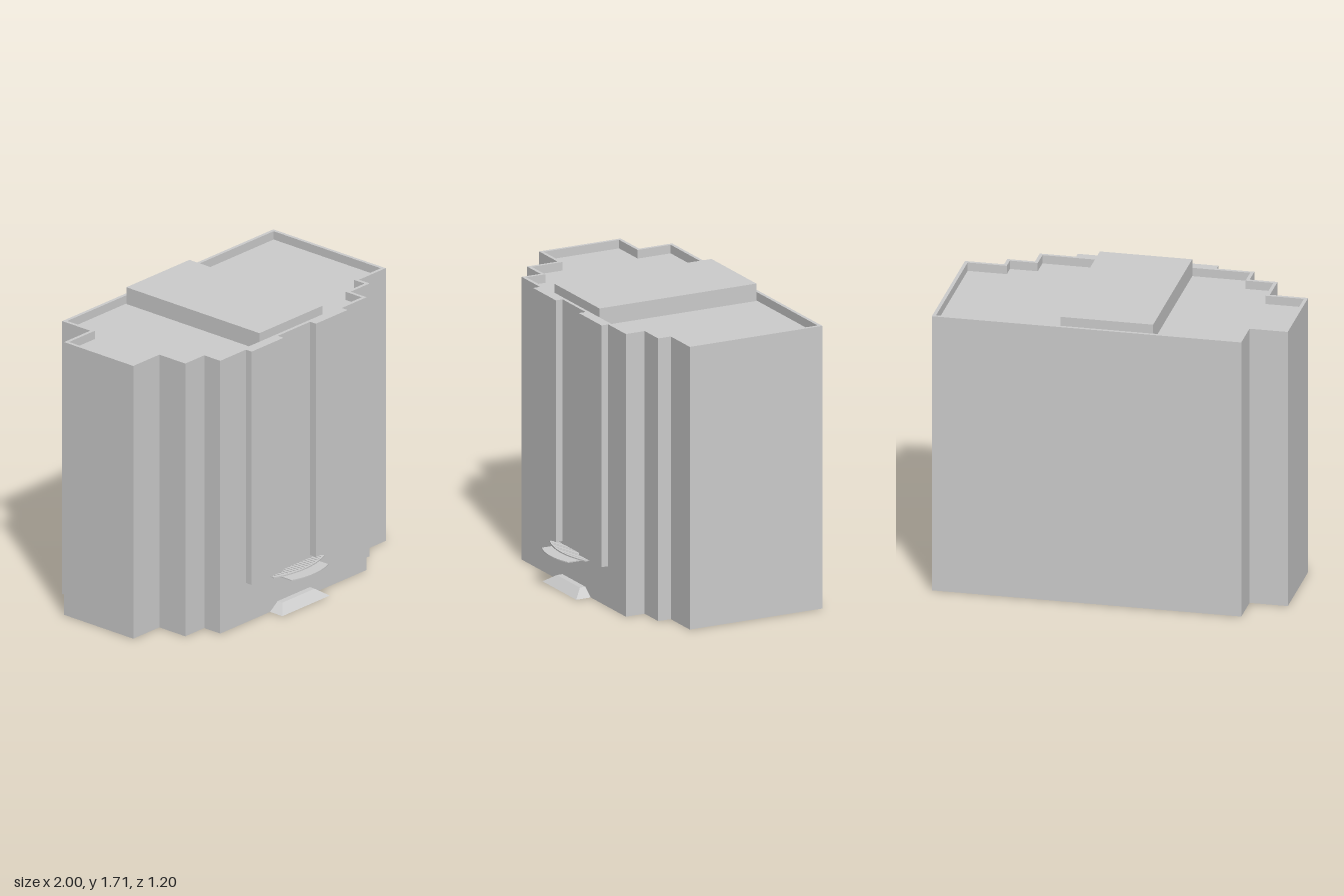
import * as THREE from 'three';

const grey = new THREE.MeshStandardMaterial({ color: 0xcccccc, flatShading: true });
const greyTwoSided = new THREE.MeshStandardMaterial({ color: 0xcccccc, flatShading: true, side: THREE.DoubleSide });

const HEIGHT = 1.66, ROOF = 1.61, RIM = 0.02, FRONT = 0.445;

// Stepped floor plan as [x, z]
const PLAN = [
  [-0.78, -0.6], [1, -0.6], [1, 0.245], [0.775, 0.245], [0.775, 0.325], [0.615, 0.325], [0.615, FRONT],
  [-0.62, FRONT], [-0.62, 0.325], [-0.78, 0.325], [-0.78, 0.13], [-1, 0.13], [-1, -0.39], [-0.78, -0.39],
];

function add(group, name, geometry, material = grey) {
  const mesh = new THREE.Mesh(geometry, material);
  mesh.name = name;
  group.add(mesh);
  return mesh;
}

// Box given by its lower and upper corners
function boxBetween(x0, x1, y0, y1, z0, z1) {
  return new THREE.BoxGeometry(x1 - x0, y1 - y0, z1 - z0)
    .translate((x0 + x1) / 2, (y0 + y1) / 2, (z0 + z1) / 2);
}

// Offset a right-angled plan inward
function inset(plan, d) {
  const n = plan.length;
  const inward = (a, b) => [-Math.sign(b[1] - a[1]), Math.sign(b[0] - a[0])];
  return plan.map((p, i) => {
    const u = inward(plan[(i + n - 1) % n], p), v = inward(p, plan[(i + 1) % n]);
    return [p[0] + d * (u[0] + v[0]), p[1] + d * (u[1] + v[1])];
  });
}

// Skin a stack of { plan, y } loops
function skin(loops) {
  const pos = [];
  for (let k = 0; k < loops.length - 1; k++) {
    const lo = loops[k], hi = loops[k + 1], n = lo.plan.length;
    const at = (l, i) => [l.plan[i % n][0], l.y, l.plan[i % n][1]];
    for (let i = 0; i < n; i++) {
      const a0 = at(lo, i), b0 = at(lo, i + 1), a1 = at(hi, i), b1 = at(hi, i + 1);
      pos.push(...a0, ...b1, ...b0, ...a0, ...a1, ...b1);
    }
  }
  const g = new THREE.BufferGeometry();
  g.setAttribute('position', new THREE.Float32BufferAttribute(pos, 3));
  g.computeVertexNormals();
  return g;
}

// Front edge of a bowed canopy: z at x
const bow = (x, half, zEnd, zMid) => zMid - (zMid - zEnd) * (x / half) ** 2;

// Thin horizontal plate with a bowed front; zBack(x) gives its rear edge
function bowedPlate(half, zEnd, zMid, zBack, y, thickness) {
  const pts = [], N = 16;
  for (let i = 0; i <= N; i++) {
    const x = half * (2 * i / N - 1);
    pts.push(new THREE.Vector2(x, -bow(x, half, zEnd, zMid)));
  }
  for (let i = N; i >= 0; i--) {
    const x = half * (2 * i / N - 1);
    pts.push(new THREE.Vector2(x, -zBack(x)));
  }
  return new THREE.ExtrudeGeometry(new THREE.Shape(pts), { depth: thickness, bevelEnabled: false })
    .rotateX(-Math.PI / 2).translate(0, y, 0);
}

export function createModel() {
  const model = new THREE.Group();
  model.name = 'building';

  // Outer walls, open below, with the parapet folded over to the roof
  const inner = inset(PLAN, RIM);
  add(model, 'wallsAndParapet', skin([
    { plan: PLAN, y: 0 }, { plan: PLAN, y: HEIGHT }, { plan: inner, y: HEIGHT }, { plan: inner, y: ROOF },
  ]), greyTwoSided);

  const roofShape = new THREE.Shape(inner.map(([x, z]) => new THREE.Vector2(x, -z)));
  add(model, 'roof', new THREE.ShapeGeometry(roofShape).rotateX(-Math.PI / 2).translate(0, ROOF, 0), greyTwoSided);

  // Raised block across the roof
  add(model, 'roofBlock', boxBetween(-0.267, 0.265, ROOF, 1.712, -0.575, 0.425));

  // Two tall panels on the front
  add(model, 'rightFrontPanel', boxBetween(-0.403, -0.135, 0.24, HEIGHT, FRONT, 0.488));
  add(model, 'leftFrontPanel', boxBetween(0.138, 0.406, 0.24, HEIGHT, FRONT, 0.488));

  // Entrance canopy: bowed lower plate, bowed upper rim and slats
  const canopy = new THREE.Group();
  canopy.name = 'canopy';
  model.add(canopy);
  add(canopy, 'canopyPlate', bowedPlate(0.155, 0.567, 0.597, () => FRONT, 0.208, 0.006));
  add(canopy, 'canopyRim', bowedPlate(0.213, 0.485, 0.528, x => bow(x, 0.213, 0.475, 0.518), 0.219, 0.007));
  for (let i = -8; i <= 8; i++) {
    const x = i * 0.025;
    add(canopy, 'canopySlat', boxBetween(x - 0.009, x + 0.009, 0.219, 0.225, FRONT, bow(x, 0.213, 0.478, 0.521)));
  }

  // Entrance ramp: a box tapered towards its top
  const ramp = boxBetween(-0.2, 0.2, 0, 0.046, FRONT, 0.538);
  const p = ramp.attributes.position;
  for (let i = 0; i < p.count; i++) {
    if (p.getY(i) > 0.02) {
      p.setX(i, p.getX(i) * 0.68);
      p.setZ(i, Math.min(p.getZ(i), 0.48));
    }
  }
  ramp.computeVertexNormals();
  add(model, 'entranceRamp', ramp);

  return model;
}
